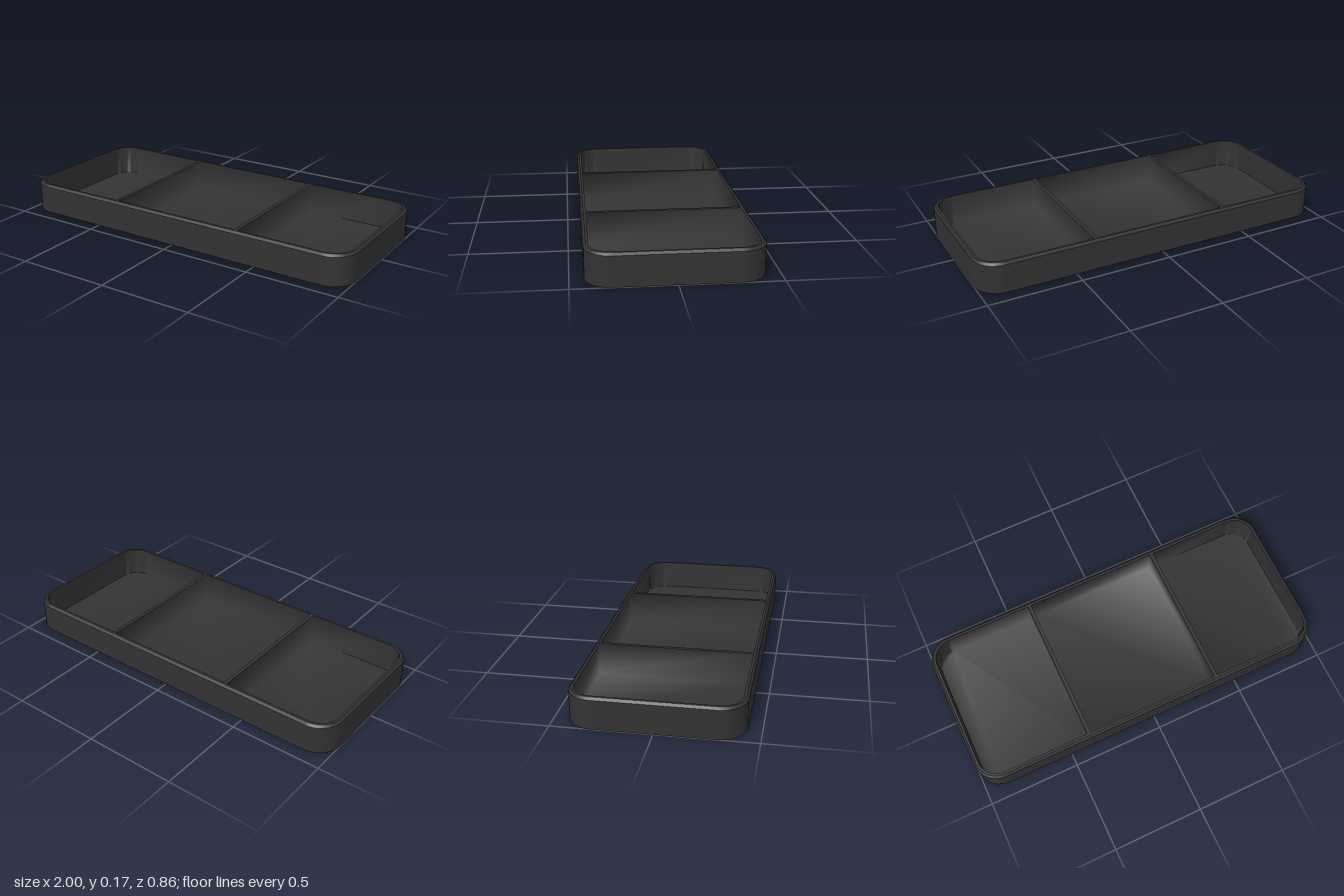
import * as THREE from 'three';

const HX = 1, HZ = 0.43, HEIGHT = 0.165, CHAMFER = 0.012, RADIUS = 0.13;
const WALL = 0.025, DIVIDER_X = 0.38, DIVIDER = 0.02;

// Rounded rectangle as [x, z] points; rPos and rNeg round the +x and -x corners (0 = square).
function outline(x0, x1, z0, z1, rPos, rNeg, steps = 10) {
  const corners = [
    [x1, z1, -1, -1, rPos, 0], [x0, z1, 1, -1, rNeg, 1],
    [x0, z0, 1, 1, rNeg, 2], [x1, z0, -1, 1, rPos, 3],
  ];
  const pts = [];
  for (const [x, z, dx, dz, r, q] of corners) {
    const n = r > 0 ? steps : 0;
    for (let i = 0; i <= n; i++) {
      const a = (q + (n ? i / n : 0)) * Math.PI / 2;
      pts.push(new THREE.Vector2(x + dx * r + r * Math.cos(a), z + dz * r + r * Math.sin(a)));
    }
  }
  return pts;
}

// Joins loops at given heights; optionally closes the last loop with an upward floor.
function loft(sections, floor = false) {
  const n = sections[0].pts.length, pos = [], index = [];
  for (const { pts, y } of sections) for (const p of pts) pos.push(p.x, y, p.y);
  for (let j = 0; j < sections.length - 1; j++) {
    for (let i = 0; i < n; i++) {
      const a = j * n + i, b = j * n + (i + 1) % n, c = a + n, d = b + n;
      index.push(a, c, b, b, c, d);
    }
  }
  if (floor) {
    const pts = sections.at(-1).pts, base = (sections.length - 1) * n;
    for (const [a, b, c] of THREE.ShapeUtils.triangulateShape(pts, [])) {
      const ccw = THREE.ShapeUtils.area([pts[a], pts[b], pts[c]]) > 0;
      index.push(base + a, base + (ccw ? c : b), base + (ccw ? b : c));
    }
  }
  const g = new THREE.BufferGeometry();
  g.setAttribute('position', new THREE.Float32BufferAttribute(pos, 3));
  g.setIndex(index);
  g.computeVertexNormals();
  return g;
}

// Flat frame with three openings, facing up or down.
function frame(outer, holes, y, up) {
  const shape = new THREE.Shape(outer);
  shape.holes = holes.map((h) => new THREE.Path(h));
  const g = new THREE.ShapeGeometry(shape);
  g.rotateX(up ? -Math.PI / 2 : Math.PI / 2);
  g.translate(0, y, 0);
  return g;
}

export function createModel() {
  const group = new THREE.Group();
  const mat = new THREE.MeshStandardMaterial({ color: 0x333333 });
  const panMat = new THREE.MeshStandardMaterial({ color: 0x333333, side: THREE.DoubleSide });
  const add = (name, geometry, material = mat) => {
    const mesh = new THREE.Mesh(geometry, material);
    mesh.name = name;
    group.add(mesh);
  };

  // Outer wall and chamfered top edge
  const full = outline(-HX, HX, -HZ, HZ, RADIUS, RADIUS);
  const c = CHAMFER;
  const inset = outline(-HX + c, HX - c, -HZ + c, HZ - c, RADIUS - c, RADIUS - c);
  add('outerWall', loft([{ pts: full, y: 0 }, { pts: full, y: HEIGHT - c }]));
  add('topChamfer', loft([{ pts: full, y: HEIGHT - c }, { pts: inset, y: HEIGHT }]));

  // Three compartments: the end ones are rounded on their outer side
  const x = HX - WALL, z = HZ - WALL, r = RADIUS - WALL, d = DIVIDER / 2;
  const cells = {
    rightCompartment: outline(-x, -DIVIDER_X - d, -z, z, 0, r),
    middleCompartment: outline(-DIVIDER_X + d, DIVIDER_X - d, -z, z, 0, 0),
    leftCompartment: outline(DIVIDER_X + d, x, -z, z, r, 0),
  };
  for (const [name, pts] of Object.entries(cells)) {
    add(name, loft([{ pts, y: HEIGHT }, { pts, y: 0 }], true), panMat);
  }

  // Rim and dividers, above and below
  const holes = Object.values(cells);
  add('rimAndDividers', frame(inset, holes, HEIGHT, true));
  add('underside', frame(full, holes, 0, false));
  return group;
}
